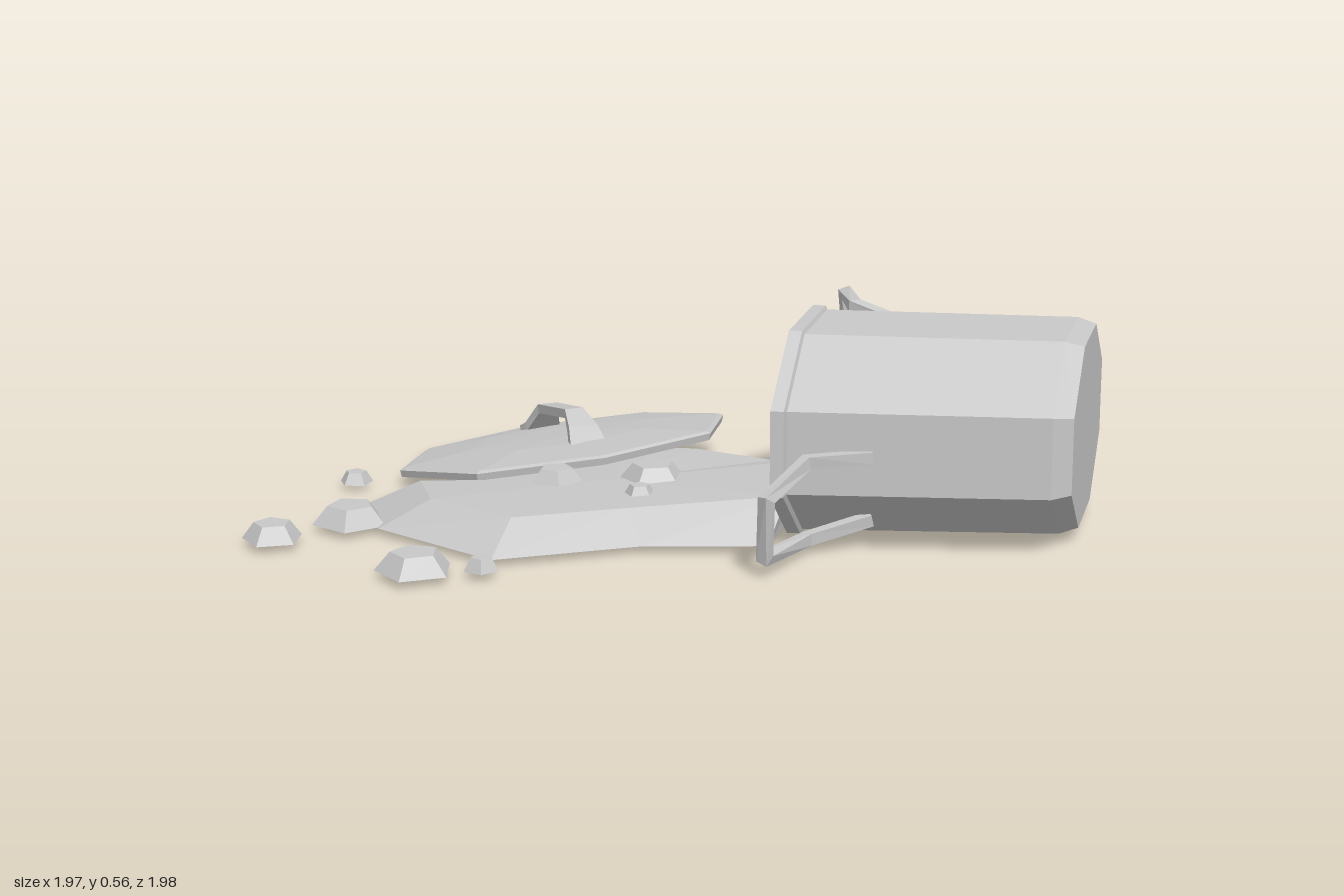
import * as THREE from 'three';

const V = (x, y, z) => new THREE.Vector3(x, y, z);

// Faceted skin over rings that run counterclockwise about the direction of travel, with both ends capped
function loft(rings) {
  const pos = [];
  const tri = (...pts) => pts.forEach((p) => pos.push(p.x, p.y, p.z));
  const n = rings[0].length;
  for (let r = 0; r < rings.length - 1; r++) {
    const a = rings[r], b = rings[r + 1];
    for (let i = 0; i < n; i++) {
      const j = (i + 1) % n;
      tri(a[i], a[j], b[j]);
      tri(a[i], b[j], b[i]);
    }
  }
  const cap = (ring, flip) => {
    const c = V(0, 0, 0);
    ring.forEach((p) => c.addScaledVector(p, 1 / n));
    ring.forEach((p, i) => {
      const q = ring[(i + 1) % n];
      if (flip) tri(c, q, p); else tri(c, p, q);
    });
  };
  cap(rings[0], true);
  cap(rings[rings.length - 1], false);
  const g = new THREE.BufferGeometry();
  g.setAttribute('position', new THREE.Float32BufferAttribute(pos, 3));
  g.computeVertexNormals();
  return g;
}

// Rectangular bar along a path; widths may differ from point to point
function bar(points, widths, thick, ref) {
  return loft(points.map((p, i) => {
    const t = points[Math.min(i + 1, points.length - 1)].clone().sub(points[Math.max(i - 1, 0)]).normalize();
    const side = ref.clone().addScaledVector(t, -ref.dot(t)).normalize();
    const up = t.clone().cross(side);
    return [[1, 1], [-1, 1], [-1, -1], [1, -1]].map(([a, b]) =>
      p.clone().addScaledVector(side, a * widths[i] / 2).addScaledVector(up, b * thick / 2));
  }));
}

export function createModel() {
  const group = new THREE.Group();
  const grey = new THREE.MeshStandardMaterial({ color: 0xc8c8c8, flatShading: true, side: THREE.DoubleSide });
  grey.name = 'plain grey';
  const add = (name, geometry, parent = group) => {
    const m = new THREE.Mesh(geometry, grey);
    m.name = name;
    parent.add(m);
    return m;
  };

  // Pot space: x across the mouth, y up, z out of the mouth (slightly skewed)
  const potSpace = new THREE.Matrix4().makeBasis(V(0.489, 0, 0.872), V(0, 1, 0), V(-0.787, 0, 0.617));
  potSpace.setPosition(0.215, 0.287, -0.23);
  const inPot = (g) => {
    g.applyMatrix4(potSpace);
    g.computeVertexNormals();
    return g;
  };
  const pot = new THREE.Group();
  pot.name = 'pot';
  group.add(pot);

  // Octagonal body: z, half width, half height, from the base up over the rim and down inside
  const octagon = (z, a, b) => Array.from({ length: 8 }, (_, i) => {
    const t = (i + 0.5) * Math.PI / 4, k = 1 / Math.cos(Math.PI / 8);
    return V(a * k * Math.cos(t), b * k * Math.sin(t), z);
  });
  const body = [
    [-0.77, 0.332, 0.247], [-0.72, 0.358, 0.262], [-0.04, 0.362, 0.268], [-0.035, 0.378, 0.278],
    [0, 0.378, 0.278], [0, 0.348, 0.252], [-0.7, 0.335, 0.242],
  ];
  add('potBody', inPot(loft(body.map((s) => octagon(...s)))), pot);

  // Two side handles, one the half-turn of the other
  const handlePath = [
    V(0.355, -0.005, -0.26), V(0.4, -0.01, -0.1), V(0.555, -0.07, -0.03),
    V(0.525, -0.235, -0.02), V(0.31, -0.245, -0.085), V(0.245, -0.205, -0.24),
  ];
  for (const [name, turn] of [['leftHandle', 0], ['rightHandle', Math.PI]]) {
    const g = bar(handlePath, handlePath.map(() => 0.034), 0.032, V(1, 0, -1));
    add(name, inPot(g.rotateZ(turn)), pot);
  }

  // Soup left in the pot
  const soup = (z, w) => [V(-0.14, -0.245, z), V(0.14, -0.245, z), V(w, -0.165, z), V(-w, -0.165, z)];
  add('soupInPot', inPot(loft([soup(-0.35, 0.24), soup(0.02, 0.24)])), pot);

  // Spilled puddle with sloping edges
  const puddleEdge = [
    [0.36, 0.06], [0.1, -0.44], [0, -0.46], [-0.24, -0.38], [-0.49, -0.29],
    [-0.72, 0.33], [-0.7, 0.53], [-0.5, 0.66], [-0.08, 0.64], [0.12, 0.29],
  ];
  const puddleTop = [
    [0.32, 0.125, -0.06], [0.14, 0.125, -0.39], [0, 0.1, -0.36], [-0.24, 0.1, -0.3], [-0.42, 0.09, -0.2],
    [-0.6, 0.06, 0.32], [-0.6, 0.085, 0.42], [-0.41, 0.1, 0.55], [-0.13, 0.1, 0.52], [0.03, 0.1, 0.25],
  ];
  add('puddle', loft([puddleEdge.map(([x, z]) => V(x, 0.022, z)), puddleTop.map((p) => V(...p))]));

  // Tilted lid: scale and height of each ring, from the hollow underside over the rim to the crown
  const lid = new THREE.Group();
  lid.name = 'lid';
  group.add(lid);
  const lidEdge = [
    [-0.68, -0.55], [-0.93, -0.3], [-0.985, 0.06], [-0.8, 0.32],
    [-0.48, 0.32], [-0.24, 0.06], [-0.18, -0.3], [-0.37, -0.56],
  ];
  const lidY = (x) => 0.003 + 0.165 * (x + 0.985);
  const lidRing = ([s, h]) => lidEdge.map(([ex, ez]) => {
    const x = -0.58 + (ex + 0.58) * s, z = -0.12 + (ez + 0.12) * s;
    return V(x, lidY(x) + h, z);
  });
  const lidProfile = [[0.5, 0.03], [0.93, 0.008], [0.94, 0], [0.99, 0], [1, 0.02], [0.97, 0.027], [0.55, 0.047], [0.28, 0.052]];
  add('lidPlate', loft(lidProfile.map(lidRing)), lid);

  // Lid handle: wide feet and a narrow grip
  const grip = [
    V(-0.79, 0.075, -0.21), V(-0.755, 0.095, -0.195), V(-0.705, 0.16, -0.17),
    V(-0.51, 0.197, -0.085), V(-0.44, 0.168, -0.05), V(-0.385, 0.125, -0.02),
  ];
  add('lidHandle', bar(grip, [0.11, 0.1, 0.06, 0.055, 0.085, 0.11], 0.026, V(-0.42, 0, 0.9)), lid);

  // Five-sided chunks: x, z, radius, base height, height, turn
  const chunks = [
    [-0.12, -0.005, 0.095, 0.095, 0.045, 0.3], [-0.3, 0.19, 0.075, 0.095, 0.04, 0.9],
    [-0.04, 0.13, 0.045, 0.095, 0.03, 0.2], [-0.1, -0.52, 0.05, 0.022, 0.035, 0.5],
    [-0.885, 0.41, 0.048, 0.022, 0.032, 0.1], [-0.6, 0.67, 0.105, 0.022, 0.05, 0.7],
    [-0.635, 0.91, 0.083, 0.022, 0.045, 0.35], [-0.16, 0.83, 0.105, 0.022, 0.05, 0.45],
    [-0.04, 0.71, 0.047, 0.022, 0.035, 0.8],
  ];
  chunks.forEach(([x, z, r, y, h, turn], i) => {
    const m = add('chunk' + (i + 1), new THREE.CylinderGeometry(r * 0.6, r, h, 5));
    m.position.set(x, y + h / 2, z);
    m.rotation.y = turn;
  });

  return group;
}
